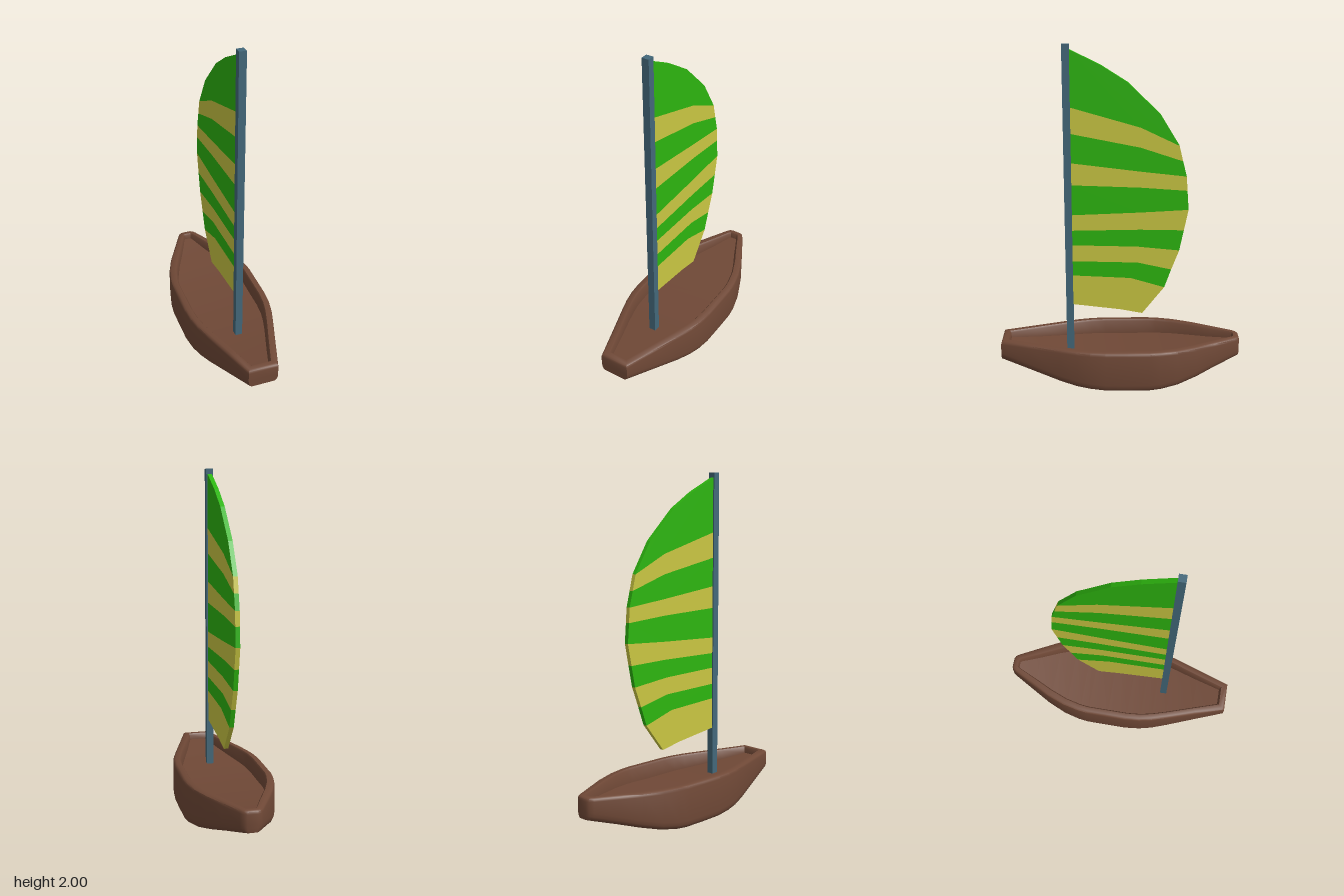
import * as THREE from 'three';
import { toCreasedNormals } from 'three/addons/utils/BufferGeometryUtils.js';

const paint = (name, color) => {
  const m = new THREE.MeshStandardMaterial({ color });
  m.name = name;
  return m;
};

// Half plan of the hull, bow to stern: outer x, outer z, inner x, inner z, keel height
const PLAN = [
  [0.03, -0.72, 0.015, -0.68, 0.13],
  [0.048, -0.712, 0.022, -0.68, 0.128],
  [0.064, -0.69, 0.03, -0.67, 0.122],
  [0.13, -0.565, 0.085, -0.55, 0.087],
  [0.19, -0.45, 0.143, -0.43, 0.053],
  [0.235, -0.335, 0.187, -0.32, 0.023],
  [0.258, -0.235, 0.21, -0.225, 0.007],
  [0.265, -0.17, 0.217, -0.17, 0.002],
  [0.265, -0.04, 0.217, -0.04, 0],
  [0.265, 0.09, 0.217, 0.09, 0.002],
  [0.257, 0.18, 0.209, 0.18, 0.01],
  [0.24, 0.26, 0.192, 0.255, 0.019],
  [0.21, 0.355, 0.165, 0.345, 0.037],
  [0.15, 0.535, 0.107, 0.515, 0.083],
  [0.09, 0.718, 0.055, 0.672, 0.132],
];

// Layers run from keel up the side, over the rim and down to the deck:
// inset in x, inset in z, height from (keel, z)
const LAYERS = [
  [0.55, 0, (k) => k],
  [0.22, 0, (k) => k + 0.009],
  [0.05, 0, (k) => k + 0.025],
  [0, 0, (k) => k + 0.045],
  [0, 0, () => 0.232],
  [0.08, 0.08, () => 0.245],
  [0.3, 0.3, () => 0.252],
  [0.85, 0.85, () => 0.252],
  [1, 1, () => 0.242],
  [1.12, 1.08, (k, z) => 0.16 + 0.12 * z * z],
];

function hullGeometry() {
  const n = PLAN.length, ring = 2 * n;
  const pos = [], idx = [];
  for (const [tx, tz, height] of LAYERS) {
    const half = PLAN.map(([ox, oz, ix, iz, keel]) => {
      const z = oz + (iz - oz) * tz;
      return [ox + (ix - ox) * tx, height(keel, z), z];
    });
    half.forEach((p) => pos.push(...p));
    half.reverse().forEach(([x, y, z]) => pos.push(-x, y, z));
  }
  for (let l = 0; l < LAYERS.length - 1; l++) {
    for (let i = 0; i < ring; i++) {
      const j = (i + 1) % ring;
      const a = l * ring + i, b = l * ring + j, c = b + ring, d = a + ring;
      idx.push(a, d, c, a, c, b);
    }
  }
  // Bottom and deck, filled across from side to side
  const top = (LAYERS.length - 1) * ring;
  for (let i = 0; i < n - 1; i++) {
    const r0 = i, r1 = i + 1, l0 = ring - 1 - i, l1 = ring - 2 - i;
    idx.push(r0, l1, l0, r0, r1, l1);
    idx.push(top + r0, top + l0, top + l1, top + r0, top + l1, top + r1);
  }
  const g = new THREE.BufferGeometry();
  g.setAttribute('position', new THREE.Float32BufferAttribute(pos, 3));
  g.setIndex(idx);
  return toCreasedNormals(g, 0.7);
}

// Seams across the sail, each from the mast to the free edge, as (z, y)
const LUFF = 0.283;
const SEAMS = [
  [[LUFF, 1.97], [0.11, 1.885], [-0.04, 1.79], [-0.225, 1.61], [-0.335, 1.43]],
  [[LUFF, 1.65], [-0.115, 1.535], [-0.335, 1.43]],
  [[LUFF, 1.5], [-0.115, 1.42], [-0.357, 1.34]],
  [[LUFF, 1.33], [-0.115, 1.28], [-0.38, 1.25]],
  [[LUFF, 1.2], [-0.115, 1.185], [-0.386, 1.165]],
  [[LUFF, 1.02], [-0.115, 1.035], [-0.395, 1.05]],
  [[LUFF, 0.925], [-0.115, 0.93], [-0.37, 0.925]],
  [[LUFF, 0.835], [-0.1, 0.825], [-0.345, 0.8]],
  [[LUFF, 0.735], [-0.1, 0.725], [-0.3, 0.68]],
  [[LUFF, 0.645], [-0.06, 0.627], [-0.26, 0.567]],
  [[LUFF, 0.46], [0, 0.425], [-0.13, 0.4]],
];

// One panel of the sail between two seams
function panelGeometry(upper, lower) {
  const outline = [...upper, ...[...lower].reverse()].map(([z, y]) => new THREE.Vector2(z, y));
  const g = new THREE.ExtrudeGeometry(new THREE.Shape(outline), { depth: 0.026, bevelEnabled: false });
  g.translate(0, 0, -0.013);
  g.rotateY(-Math.PI / 2);
  return g;
}

export function createModel() {
  const wood = paint('brown wood', 0x6f4836);
  const steel = paint('blue grey mast', 0x43687a);
  const green = paint('green cloth', 0x2db50f);
  const yellow = paint('yellow cloth', 0xc9c642);

  const boat = new THREE.Group();
  boat.name = 'sailboat';
  const add = (parent, name, geometry, material) => {
    const mesh = new THREE.Mesh(geometry, material);
    mesh.name = name;
    parent.add(mesh);
    return mesh;
  };

  add(boat, 'hull', hullGeometry(), wood);

  // Square mast standing on the deck
  add(boat, 'mast', new THREE.BoxGeometry(0.042, 1.84, 0.042), steel).position.set(0, 1.08, 0.304);

  // Striped sail, alternating from the top
  const sail = new THREE.Group();
  sail.name = 'sail';
  boat.add(sail);
  for (let i = 0; i < SEAMS.length - 1; i++) {
    add(sail, `sailPanel${i + 1}`, panelGeometry(SEAMS[i], SEAMS[i + 1]), i % 2 ? yellow : green);
  }
  return boat;
}
